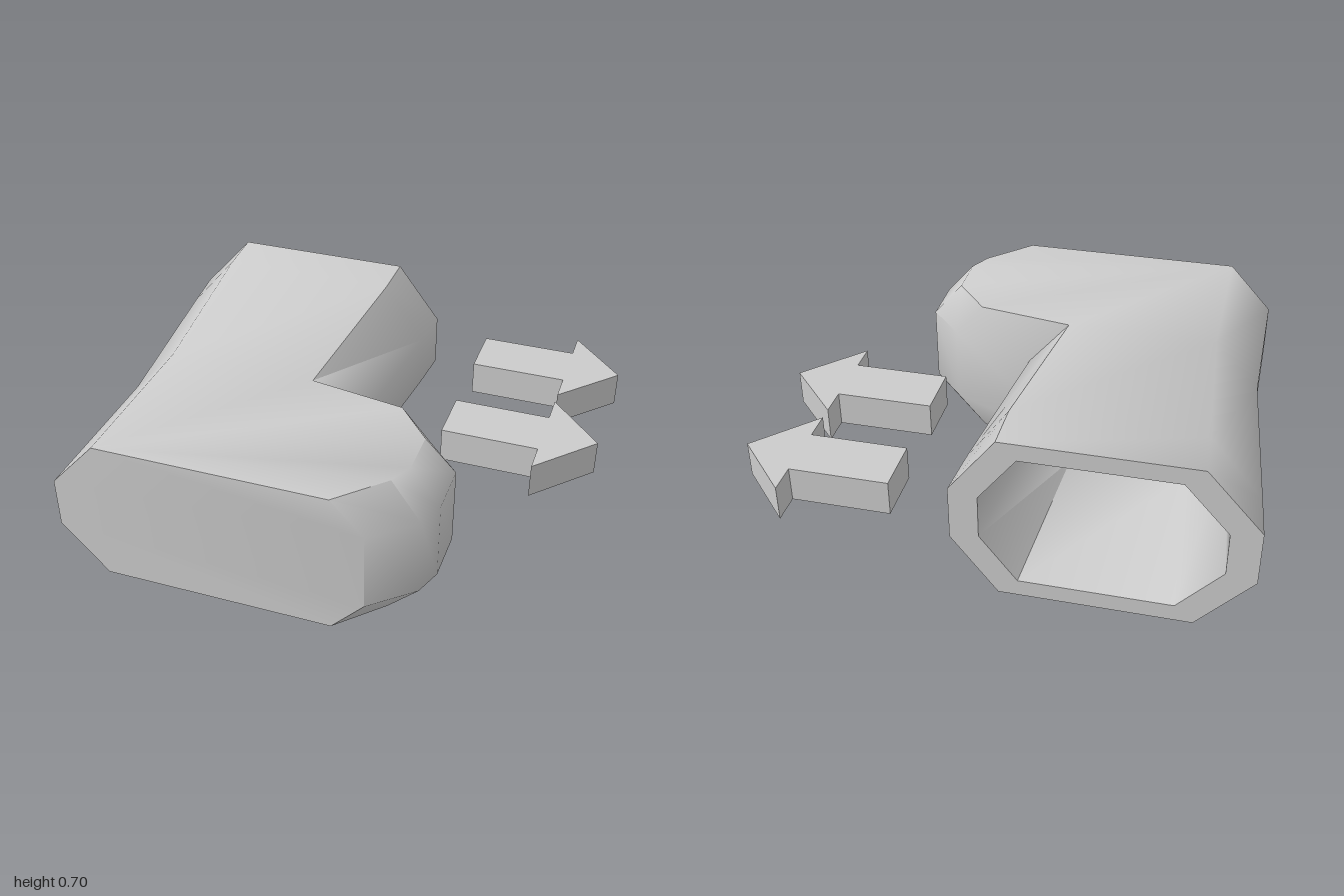
import * as THREE from 'three';
import { toCreasedNormals } from 'three/addons/utils/BufferGeometryUtils.js';

const MID = 0.3525; // height of the symmetry plane

// Octagonal section across the leg, counter-clockwise seen from +z
function octagon(z, x0, x0Top, x1Top, x1, halfHeight, halfFlat) {
  return [[x1, -halfFlat], [x1, halfFlat], [x1Top, halfHeight], [x0Top, halfHeight],
    [x0, halfFlat], [x0, -halfFlat], [x0Top, -halfHeight], [x1Top, -halfHeight]]
    .map(([x, y]) => [x, MID + y, z]);
}

// Shrinks a section about its centre and moves it to z
function inset(ring, scale, z) {
  const cx = ring.reduce((sum, p) => sum + p[0], 0) / ring.length;
  return ring.map(([x, y]) => [cx + (x - cx) * scale, MID + (y - MID) * scale, z]);
}

function createBoot() {
  const positions = [];
  const quad = (a, b, c, d) => positions.push(...a, ...b, ...c, ...a, ...c, ...d);
  const fan = (ring) => {
    for (let i = 1; i < ring.length - 1; i++) positions.push(...ring[0], ...ring[i], ...ring[i + 1]);
  };

  // Leg: hollow inside, rim, then the outer wall down to the ankle
  const opening = octagon(-0.77, -1, -0.785, -0.04, 0.145, 0.3525, 0.1125);
  const upper = octagon(-0.57, -0.98, -0.775, -0.04, 0.13, 0.3525, 0.1125);
  const ankle = octagon(0.17, -0.905, -0.72, -0.11, 0.06, 0.3025, 0.1025);
  const floor = inset(octagon(0, -0.92, -0.73, -0.1, 0.075, 0.315, 0.105), 0.8, -0.02);
  const sections = [floor, inset(opening, 0.8, -0.77), opening, upper, ankle];
  for (let s = 0; s < sections.length - 1; s++) {
    const a = sections[s], b = sections[s + 1];
    for (let i = 0; i < 8; i++) {
      const j = (i + 1) % 8;
      quad(a[i], a[j], b[j], b[i]);
    }
  }
  fan([...floor].reverse());

  // Foot: columns around the plan [edge x, edge z, middle x, middle z, half flat]
  const columns = [
    [-0.72, 0.17, -0.905, 0.17, 0.1025],
    [-0.11, 0.17, 0.06, 0.17, 0.1025],
    [0.28, 0.235, 0.40, 0.235, 0.1625],
    [0.42, 0.40, 0.54, 0.385, 0.1625],
    [0.42, 0.59, 0.54, 0.60, 0.1625],
    [0.375, 0.68, 0.50, 0.71, 0.1625],
    [0.205, 0.855, 0.335, 0.855, 0.1625],
    [-0.72, 0.855, -0.905, 0.855, 0.1025],
  ].map(([ex, ez, mx, mz, h]) => [
    [ex, MID - 0.3025, ez], [mx, MID - h, mz], [mx, MID + h, mz], [ex, MID + 0.3025, ez],
  ]);
  for (let i = 1; i < columns.length; i++) {
    const a = columns[i], b = columns[(i + 1) % columns.length];
    for (let k = 0; k < 3; k++) quad(a[k], a[k + 1], b[k + 1], b[k]);
  }
  fan(columns.map((c) => c[0]));
  fan(columns.map((c) => c[3]).reverse());

  const geometry = new THREE.BufferGeometry();
  geometry.setAttribute('position', new THREE.Float32BufferAttribute(positions, 3));
  return toCreasedNormals(geometry, 0.9);
}

// Flat arrow pointing along +x
function createArrow() {
  const shape = new THREE.Shape([
    [0.385, -0.115], [0.78, -0.115], [0.78, -0.237], [1, 0],
    [0.78, 0.237], [0.78, 0.115], [0.385, 0.115],
  ].map(([x, y]) => new THREE.Vector2(x, y)));
  const geometry = new THREE.ExtrudeGeometry(shape, { depth: 0.145, bevelEnabled: false });
  return geometry.translate(0, 0, -0.0725).rotateX(-Math.PI / 2);
}

export function createModel() {
  const group = new THREE.Group();
  const material = new THREE.MeshStandardMaterial({ color: 0xcccccc });

  const boot = new THREE.Mesh(createBoot(), material);
  boot.name = 'boot';
  group.add(boot);

  // Pair of arrows beside the leg
  const arrowGeometry = createArrow();
  [['backArrow', -0.626], ['frontArrow', -0.098]].forEach(([name, z]) => {
    const arrow = new THREE.Mesh(arrowGeometry, material);
    arrow.name = name;
    arrow.position.set(0, MID, z);
    group.add(arrow);
  });
  return group;
}
